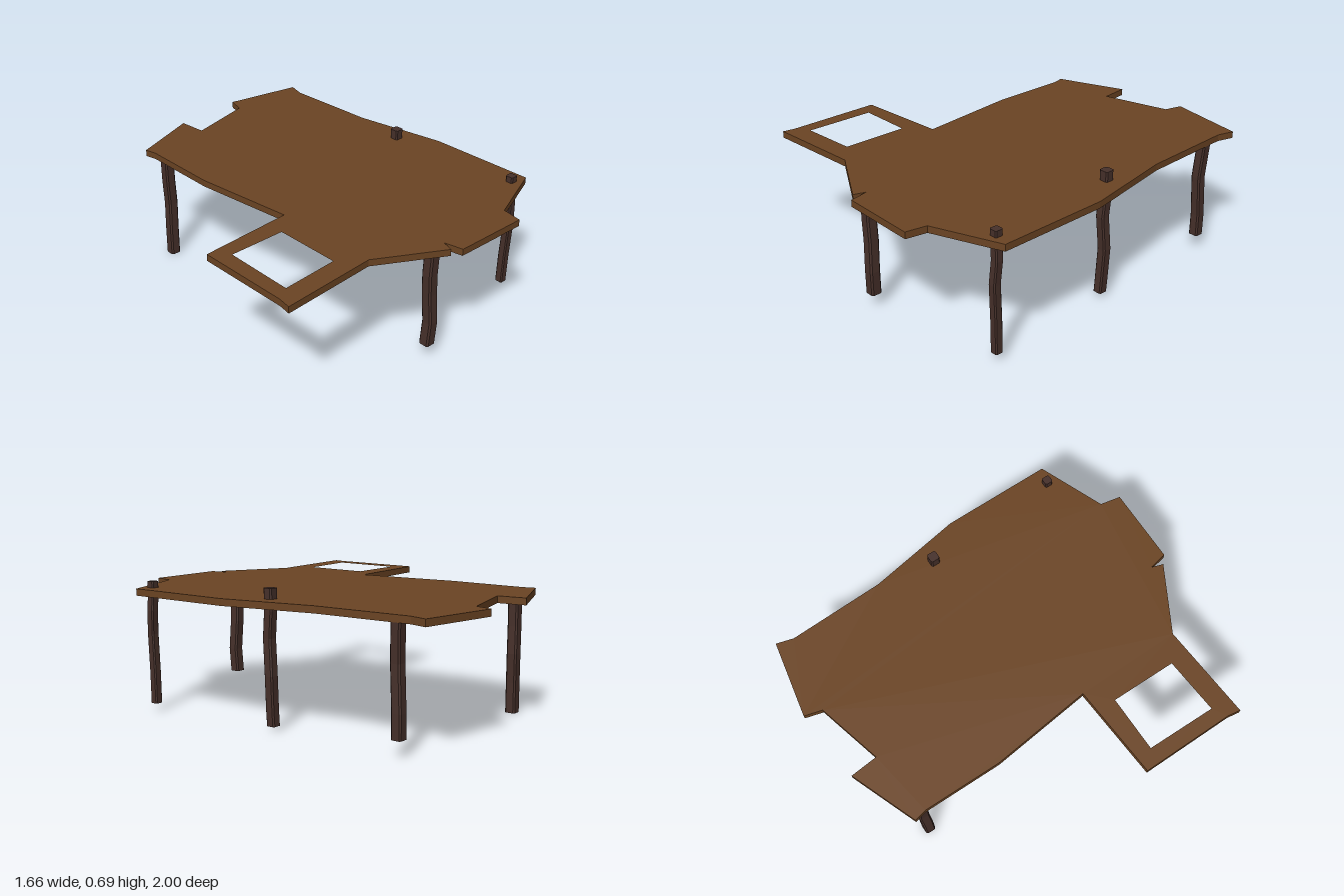
import * as THREE from 'three';

const wood = new THREE.MeshStandardMaterial({ color: 0x6b4423 });
wood.name = 'plankBrown';
const bark = new THREE.MeshStandardMaterial({ color: 0x46302a, flatShading: true });
bark.name = 'darkBark';

const toPoints = (list) => list.map(([x, z]) => new THREE.Vector2(x, -z));

// Flat deck with a ragged outline and a square hatch opening
function makeDeck() {
  const shape = new THREE.Shape(toPoints([
    [-0.415, -0.82], [-0.06, -0.96], [-0.045, -0.813], [0.305, -0.907], [0.33, -1],
    [0.74, -0.925], [0.715, -0.835], [0.735, -0.325], [0.825, 0.17], [0.83, 0.755],
    [0.48, 0.893], [0.46, 1], [0.055, 0.993], [0.035, 0.895], [0.015, 0.957],
    [-0.325, 0.765], [-0.835, 0.797], [-0.825, 0.73], [-0.83, 0.237], [-0.335, 0.205],
    [-0.4, -0.335], [-0.4, -0.755],
  ]));
  shape.holes.push(new THREE.Path(toPoints([
    [-0.747, 0.317], [-0.45, 0.317], [-0.45, 0.665], [-0.75, 0.685],
  ])));
  const geo = new THREE.ExtrudeGeometry(shape, { depth: 0.035, bevelEnabled: false });
  geo.rotateX(-Math.PI / 2).translate(0, 0.603, 0);
  const deck = new THREE.Mesh(geo, wood);
  deck.name = 'deck';
  return deck;
}

// Crooked post: square section with chamfered corners, bent through
// centre points [x, y, z] listed from bottom to top
function makePost(name, width, path) {
  const rows = path.length - 1;
  const geo = new THREE.CylinderGeometry(1, 1, rows, 8, rows);
  geo.rotateY(Math.PI / 8);
  const pos = geo.attributes.position;
  const section = (v) => {
    const a = Math.abs(v);
    return Math.sign(v) * (a < 0.1 ? 0 : a < 0.6 ? 0.72 : 1) * width / 2;
  };
  for (let i = 0; i < pos.count; i++) {
    const [cx, cy, cz] = path[Math.round(pos.getY(i) + rows / 2)];
    pos.setXYZ(i, cx + section(pos.getX(i)), cy, cz + section(pos.getZ(i)));
  }
  geo.computeVertexNormals();
  const post = new THREE.Mesh(geo, bark);
  post.name = name;
  return post;
}

export function createModel() {
  const model = new THREE.Group();
  model.name = 'raisedPlatform';
  model.add(
    makeDeck(),
    makePost('backRightPost', 0.056, [
      [-0.333, 0, -0.748], [-0.33, 0.16, -0.75], [-0.322, 0.31, -0.755],
      [-0.33, 0.45, -0.752], [-0.333, 0.62, -0.75],
    ]),
    makePost('backLeftPost', 0.054, [
      [0.685, 0.08, -0.755], [0.685, 0.2, -0.755], [0.679, 0.42, -0.743], [0.69, 0.62, -0.752],
    ]),
    makePost('frontPost', 0.058, [
      [0, 0.07, 0.863], [0.006, 0.2, 0.868], [-0.001, 0.36, 0.86],
      [-0.007, 0.47, 0.86], [-0.002, 0.62, 0.862],
    ]),
    makePost('middleLeftPost', 0.05, [
      [0.679, 0.023, -0.018], [0.684, 0.1, -0.018], [0.692, 0.27, -0.02],
      [0.685, 0.45, -0.006], [0.688, 0.58, -0.018], [0.688, 0.69, -0.018],
    ]),
    makePost('frontLeftPost', 0.043, [
      [0.743, 0.04, 0.728], [0.743, 0.2, 0.73], [0.743, 0.4, 0.738],
      [0.749, 0.52, 0.73], [0.743, 0.6, 0.728], [0.743, 0.67, 0.728],
    ]),
  );
  return model;
}
